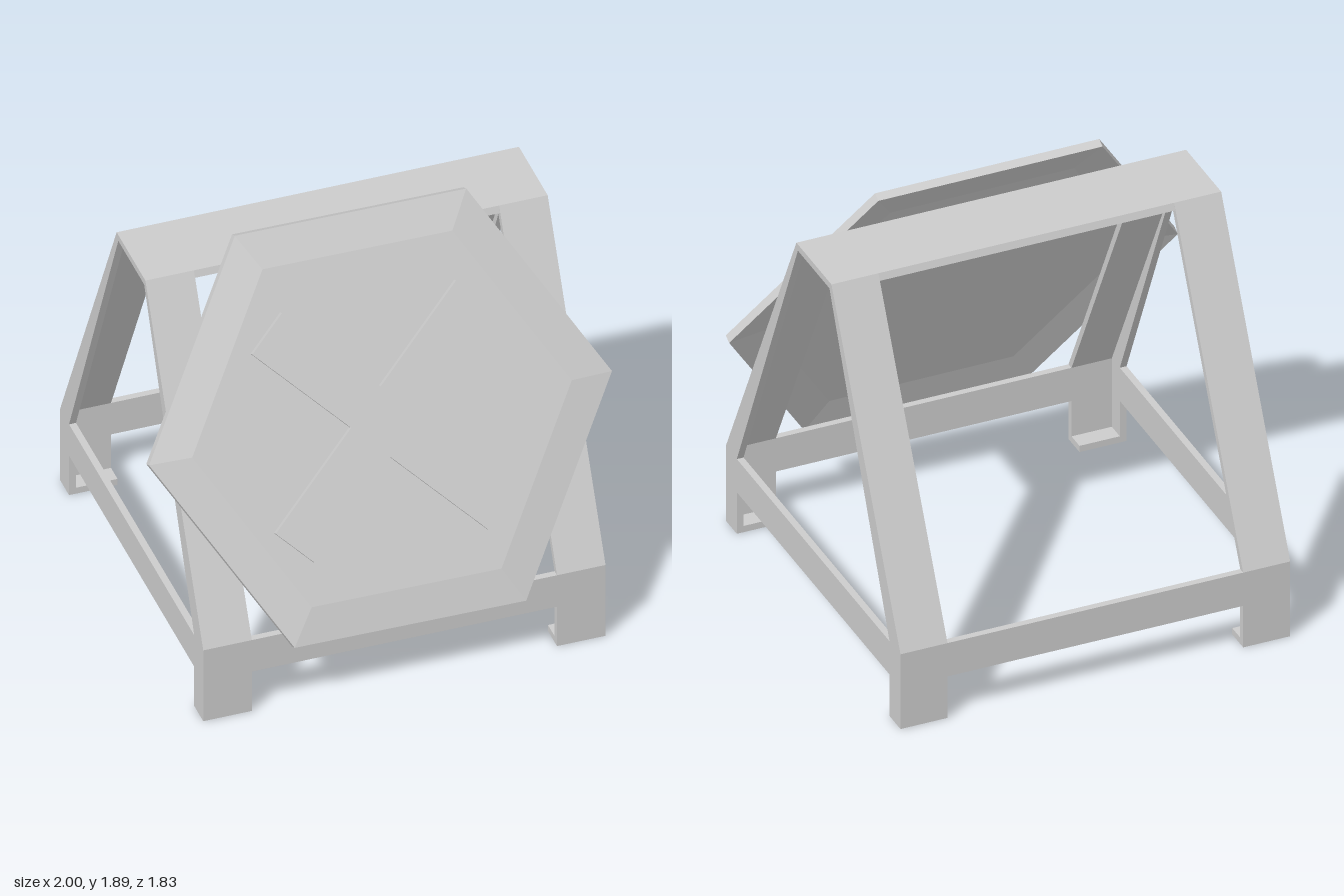
import * as THREE from 'three';

const T = 0.03;                     // sheet thickness
const XL = 0.865, XR = -0.875;      // outer faces of the two sides
const LEG = 0.21, FOOT = 0.11;      // leg width along x and along z
const ZF = 0.835, ZB = -0.91;       // outer faces of front and back
const BAR0 = 0.2, BAR1 = 0.36, TOP = 1.745;
const TF = 0.13, TB = -0.22;        // front and back edge of the top

const material = new THREE.MeshStandardMaterial({ color: 0xcccccc, flatShading: true });

function addMesh(parent, geometry, name) {
  const flat = geometry.index ? geometry.toNonIndexed() : geometry;
  flat.computeVertexNormals();
  const mesh = new THREE.Mesh(flat, material);
  mesh.name = name;
  parent.add(mesh);
  return mesh;
}

// Box given by its limits on each axis
function addBox(parent, name, x0, x1, y0, y1, z0, z1) {
  const box = new THREE.BoxGeometry(x1 - x0, y1 - y0, z1 - z0);
  box.translate((x0 + x1) / 2, (y0 + y1) / 2, (z0 + z1) / 2);
  return addMesh(parent, box, name);
}

// Profile of [z, y] points extruded along x, with an optional hole
function addPrism(parent, name, points, x0, x1, hole) {
  const toVectors = (list) => list.map(([z, y]) => new THREE.Vector2(-z, y));
  const shape = new THREE.Shape(toVectors(points));
  if (hole) shape.holes.push(new THREE.Path(toVectors(hole)));
  const geometry = new THREE.ExtrudeGeometry(shape, { depth: x1 - x0, bevelEnabled: false });
  geometry.rotateY(Math.PI / 2).translate(x0, 0, 0);
  return addMesh(parent, geometry, name);
}

function createFrame() {
  const frame = new THREE.Group();
  frame.name = 'frame';

  // Side sheets: trapezoid on two feet with a tapering opening
  const outline = [
    [ZF, 0], [ZF, BAR1], [TF, TOP], [TB, TOP], [ZB, BAR1], [ZB, 0],
    [ZB + FOOT, 0], [ZB + FOOT, BAR0], [ZF - FOOT, BAR0], [ZF - FOOT, 0],
  ];
  const opening = [
    [ZF - FOOT, BAR1], [ZB + FOOT, BAR1], [TB + 0.02, TOP - T], [TF - 0.015, TOP - T],
  ];
  addPrism(frame, 'leftSide', outline, XL - T, XL, opening);
  addPrism(frame, 'rightSide', outline, XR, XR + T, opening);

  // Top sheet
  const inL = XL - T, inR = XR + T;
  addPrism(frame, 'topSheet', [[TF, TOP], [TB, TOP], [TB - 0.012, TOP - T], [TF + 0.012, TOP - T]], inR, inL);

  // Front and back: cross bar, sloping legs, feet
  for (const [label, z, top, s] of [['front', ZF, TF, 1], ['back', ZB, TB, -1]]) {
    const z0 = Math.min(z, z - s * T), z1 = Math.max(z, z - s * T);
    addBox(frame, label + 'Bar', inR, inL, BAR0, BAR1, z0, z1);
    const slope = [[z, BAR1], [top, TOP], [top - s * 0.018, TOP - T], [z - s * T, BAR1]];
    const f0 = Math.min(z, z - s * FOOT), f1 = Math.max(z, z - s * FOOT);
    for (const [side, x0, x1] of [['Left', XL - LEG, inL], ['Right', inR, XR + LEG]]) {
      addPrism(frame, label + side + 'Leg', slope, x0, x1);
      addBox(frame, label + side + 'Foot', x0, x1, 0, BAR0, z0, z1);
      addBox(frame, label + side + 'FootPlate', x0, x1, 0, T, f0, f1);
    }
  }
  return frame;
}

function createPanel() {
  const panel = new THREE.Group();
  panel.name = 'tiltedPanel';
  const raise = 0.02, thick = 0.038, inner = 0.82;

  // Six-sided shell with a bevelled rim
  const profile = [
    [0, raise - thick], [inner, raise - thick], [1, -thick], [1, 0], [inner, raise], [0, raise],
  ].map(([r, y]) => new THREE.Vector2(r, y));
  const shell = new THREE.LatheGeometry(profile, 6, Math.PI / 2);
  shell.rotateX(Math.PI / 2);
  addMesh(panel, shell, 'hexagonPanel').rotation.z = -0.008;

  // Raised cross
  const a = 0.635, w = 0.104;
  const plus = new THREE.Shape([
    [a, -w], [a, w], [w, w], [w, a], [-w, a], [-w, w],
    [-a, w], [-a, -w], [-w, -w], [-w, -a], [w, -a], [w, -w],
  ].map(([x, y]) => new THREE.Vector2(x, y)));
  const cross = addMesh(panel, new THREE.ExtrudeGeometry(plus, { depth: 0.035, bevelEnabled: false }), 'raisedCross');
  cross.position.set(0.005, -0.008, 0.01);
  cross.rotation.z = THREE.MathUtils.degToRad(43.7);

  panel.position.set(0, 1.108, 0.53);
  panel.rotation.x = -0.46;
  return panel;
}

export function createModel() {
  const model = new THREE.Group();
  model.name = 'panelStand';
  model.add(createFrame(), createPanel());
  return model;
}
